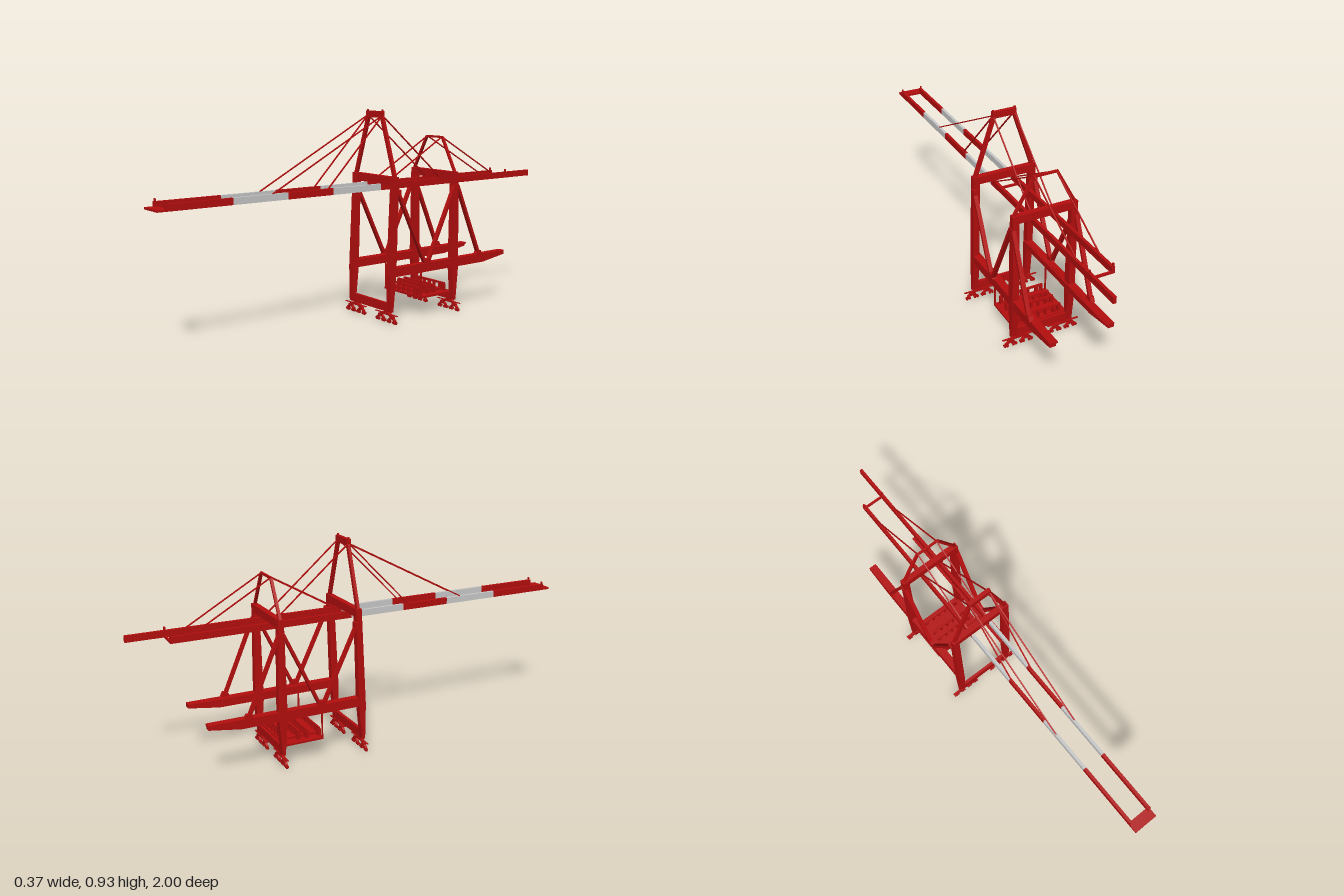
import * as THREE from 'three';

export function createModel() {
  const root = new THREE.Group();
  root.name = 'harbourCrane';
  const red = new THREE.MeshStandardMaterial({ color: 0xb40e0e });
  red.name = 'red paint';
  const grey = new THREE.MeshStandardMaterial({ color: 0xc8c8c8 });
  grey.name = 'light grey paint';

  const add = (name, geo, mat = red, parent = root) => {
    const m = new THREE.Mesh(geo, mat);
    m.name = name;
    parent.add(m);
    return m;
  };
  // box given by its limits on each axis
  const box = (name, x0, x1, y0, y1, z0, z1, mat, parent) => {
    const m = add(name, new THREE.BoxGeometry(Math.abs(x1 - x0), y1 - y0, Math.abs(z1 - z0)), mat, parent);
    m.position.set((x0 + x1) / 2, (y0 + y1) / 2, (z0 + z1) / 2);
    return m;
  };
  // square bar between two points
  const bar = (name, a, b, w, h = w) => {
    const p = new THREE.Vector3(...a), q = new THREE.Vector3(...b);
    const m = add(name, new THREE.BoxGeometry(w, h, p.distanceTo(q)));
    m.position.copy(p).add(q).multiplyScalar(0.5);
    m.lookAt(q);
    return m;
  };
  // side profile of [z, y] points, extruded across x
  const slab = (name, pts, x0, x1) => {
    const shape = new THREE.Shape(pts.map(([z, y]) => new THREE.Vector2(-z, y)));
    const geo = new THREE.ExtrudeGeometry(shape, { depth: x1 - x0, bevelEnabled: false });
    geo.rotateY(Math.PI / 2);
    geo.translate(x0, 0, 0);
    return add(name, geo);
  };
  const sides = [-1, 1];
  const span = (s, a, b) => (s > 0 ? [a, b] : [-b, -a]);

  // portal frames: tapered legs, top beam and sill beam
  const frontLeg = [[-0.037, 0.05], [-0.051, 0.05], [-0.067, 0.21], [-0.08, 0.64], [-0.055, 0.64], [-0.034, 0.21]];
  const rearLeg = [[-0.412, 0.05], [-0.424, 0.05], [-0.438, 0.21], [-0.431, 0.64], [-0.406, 0.64], [-0.399, 0.21]];
  for (const s of sides) {
    slab('frontLeg', frontLeg, ...span(s, 0.118, 0.147));
    slab('rearLeg', rearLeg, ...span(s, 0.118, 0.147));
  }
  box('frontTopBeam', -0.119, 0.119, 0.605, 0.64, -0.08, -0.055);
  box('rearTopBeam', -0.119, 0.119, 0.605, 0.64, -0.431, -0.406);
  box('frontSillBeam', -0.119, 0.119, 0.05, 0.088, -0.051, -0.037);
  box('rearSillBeam', -0.119, 0.119, 0.05, 0.088, -0.424, -0.412);

  // side beams with tapered tail, walkway and diagonal braces
  for (const s of sides) {
    slab('sideBeam', [[-0.05, 0.205], [-0.6, 0.205], [-0.74, 0.226], [-0.74, 0.245], [-0.05, 0.245]],
      ...span(s, 0.119, 0.146));
    box('walkway', s * 0.11, s * 0.12, 0.237, 0.244, -0.05, -0.74);
    const x = s * 0.143;
    const braces = [[-0.075, 0.578, -0.235, 0.245], [-0.41, 0.578, -0.25, 0.245], [-0.428, 0.578, -0.57, 0.245]];
    for (const [z0, y0, z1, y1] of braces) bar('brace', [x, y0, z0], [x, y1, z1], 0.018, 0.013);
    for (const z of [-0.243, -0.568])
      slab('braceFoot', [[z + 0.02, 0.244], [z - 0.02, 0.244], [z - 0.01, 0.264], [z + 0.01, 0.264]],
        ...span(s, 0.132, 0.152));
    for (const z of [-0.078, -0.418]) box('braceHead', s * 0.132, s * 0.152, 0.56, 0.585, z - 0.012, z + 0.012);
  }

  // wheel bogies with two levels of rocker beams
  const rocker = (name, cx, y, half, h, z, d) => {
    const sh = new THREE.Shape([[-half, 0], [-half * 0.72, 0], [-half * 0.4, h * 0.5], [half * 0.4, h * 0.5],
      [half * 0.72, 0], [half, 0], [half, h * 0.35], [half * 0.45, h], [-half * 0.45, h], [-half, h * 0.35]]
      .map((p) => new THREE.Vector2(...p)));
    const g = new THREE.ExtrudeGeometry(sh, { depth: d, bevelEnabled: false });
    g.translate(cx, y, z - d / 2);
    add(name, g);
  };
  for (const z of [-0.044, -0.418]) for (const s of sides) {
    const cx = s * 0.108;
    box('bogiePivot', cx - 0.008, cx + 0.008, 0.036, 0.052, z - 0.006, z + 0.006);
    rocker('mainRocker', cx, 0.025, 0.05, 0.02, z, 0.013);
    box('bogieRail', cx - 0.075, cx + 0.075, 0.038, 0.041, z - 0.004, z + 0.004);
    for (const k of sides) {
      const bx = cx + k * 0.038;
      rocker('wheelRocker', bx, 0.011, 0.024, 0.017, z, 0.011);
      for (const j of sides) {
        const wx = bx + j * 0.0195;
        box('wheelTruck', wx - 0.011, wx + 0.011, 0.005, 0.012, z - 0.006, z + 0.006);
        for (const i of sides) {
          const wheel = add('wheel', new THREE.CylinderGeometry(0.005, 0.005, 0.008, 10));
          wheel.rotation.x = Math.PI / 2;
          wheel.position.set(wx + i * 0.006, 0.005, z);
        }
      }
    }
  }

  // boom girders in painted bands; the left one reaches further back
  const bands = [[0.965, 0.68, red], [0.68, 0.425, grey], [0.425, 0.2, red], [0.2, -0.055, grey]];
  for (const s of sides) {
    for (const [z0, z1, mat] of [...bands, [-0.055, s > 0 ? -1 : -0.845, red]])
      box('boomGirder', s * 0.041, s * 0.054, 0.577, 0.605, z0, z1, mat);
    box('boomEndPost', s * 0.047, s * 0.053, 0.604, 0.616, 0.955, 0.961);
    box('rearPost', s * 0.047, s * 0.053, 0.604, 0.618, -0.842, -0.834);
  }
  box('boomEndPlate', -0.054, 0.054, 0.577, 0.586, 0.952, 1);
  box('rearCrossbar', -0.045, 0.045, 0.577, 0.586, -0.845, -0.836);
  box('middleCrossbar', -0.045, 0.045, 0.577, 0.586, -0.114, -0.106);

  // front mast and rear mast
  box('mastHead', -0.054, 0.054, 0.89, 0.918, -0.075, -0.058);
  bar('rearMastHead', [-0.056, 0.792, -0.418], [0.056, 0.792, -0.418], 0.009);
  for (const s of sides) {
    bar('mastLeg', [s * 0.134, 0.636, -0.067], [s * 0.047, 0.895, -0.067], 0.013, 0.017);
    bar('rearMastLeg', [s * 0.138, 0.636, -0.418], [s * 0.053, 0.79, -0.418], 0.012, 0.01);
    box('mastPin', s * 0.047, s * 0.053, 0.917, 0.925, -0.07, -0.063);
    // stays from the mast heads down to the girders
    const x = s * 0.049;
    for (const z of [0.5, 0.225, -0.415]) bar('stay', [x, 0.9, -0.066], [x, 0.603, z], 0.005);
    for (const z of [-0.085, -0.75]) bar('rearStay', [x, 0.793, -0.418], [x, 0.603, z], 0.005);
  }

  // low platform between the legs, with racks and hangers
  box('platformDeck', -0.128, 0.128, 0.08, 0.089, -0.228, -0.408);
  for (const s of sides) bar('platformHanger', [s * 0.124, 0.082, -0.232], [s * 0.124, 0.21, -0.232], 0.006);
  for (const z of [-0.237, -0.293, -0.331, -0.394]) {
    box('rackRail', -0.105, 0.105, 0.118, 0.127, z - 0.004, z + 0.004);
    for (const x of [-0.098, -0.075, -0.034, 0, 0.034, 0.075, 0.098]) {
      const w = Math.abs(x) > 0.05 ? 0.007 : 0.004;
      box('rackPost', x - w, x + w, 0.088, 0.12, z - 0.007, z + 0.007);
    }
  }
  for (const z of [-0.262, -0.365])
    box('rackTray', -0.09, 0.09, 0.096, 0.102, z - 0.02, z + 0.02);
  for (const x of [-0.075, 0.075]) box('trayBeam', x - 0.008, x + 0.008, 0.088, 0.1, -0.24, -0.39);

  return root;
}
